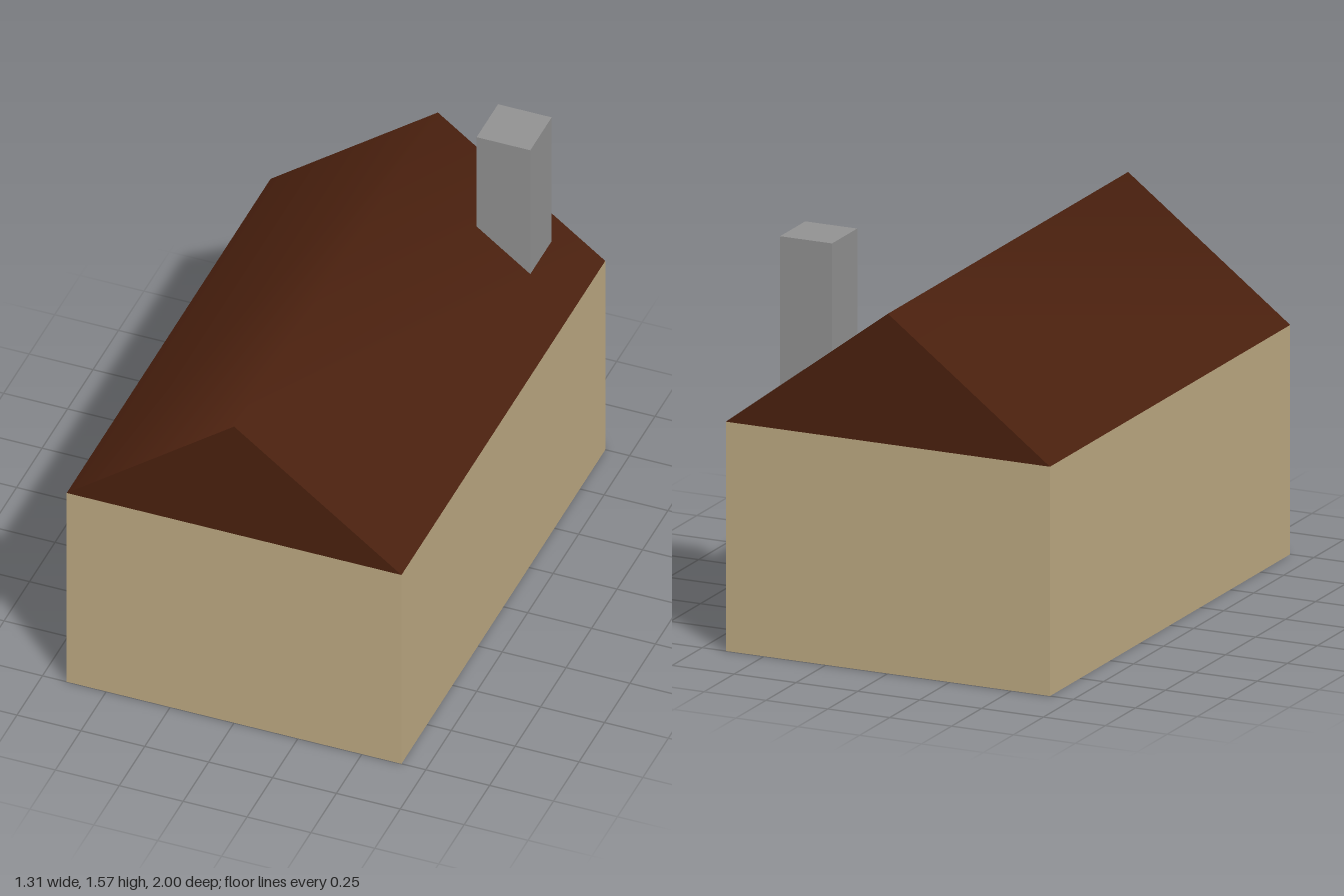
import * as THREE from 'three';

const WIDTH = 1.31, LENGTH = 2, EAVE = 0.87, RIDGE = 1.365;

function material(name, color) {
  const m = new THREE.MeshStandardMaterial({ color });
  m.name = name;
  return m;
}

export function createModel() {
  const house = new THREE.Group();
  house.name = 'house';

  const wallColour = material('tan wall', 0xbda982);
  const roofColour = material('brown roof', 0x4a200e);
  const chimneyColour = material('grey chimney', 0x919191);

  const add = (name, geometry, mat, x, y, z) => {
    const mesh = new THREE.Mesh(geometry, mat);
    mesh.name = name;
    mesh.position.set(x, y, z);
    house.add(mesh);
    return mesh;
  };

  // Walls
  add('walls', new THREE.BoxGeometry(WIDTH, EAVE, LENGTH), wallColour, 0, EAVE / 2, 0);

  // Roof slopes: a sheet folded up along its middle, shaded softly over the ridge
  const slopes = new THREE.PlaneGeometry(WIDTH, LENGTH, 2, 1).rotateX(-Math.PI / 2);
  const p = slopes.attributes.position;
  for (let i = 0; i < p.count; i++) {
    p.setY(i, (RIDGE - EAVE) * (1 - Math.abs(p.getX(i)) / (WIDTH / 2)));
  }
  slopes.computeVertexNormals();
  add('roofSlopes', slopes, roofColour, 0, EAVE, 0);

  // Gable ends
  const triangle = new THREE.Shape();
  triangle.moveTo(-WIDTH / 2, 0);
  triangle.lineTo(WIDTH / 2, 0);
  triangle.lineTo(0, RIDGE - EAVE);
  triangle.closePath();
  const gable = new THREE.ShapeGeometry(triangle);
  add('frontGable', gable, roofColour, 0, EAVE, LENGTH / 2);
  add('backGable', gable, roofColour, 0, EAVE, -LENGTH / 2).rotation.y = Math.PI;

  // Chimney, rising through the left slope near the back
  const top = 1.565, bottom = 0.9;
  add('chimney', new THREE.BoxGeometry(0.21, top - bottom, 0.21), chimneyColour,
    0.385, (top + bottom) / 2, -0.783);

  return house;
}
